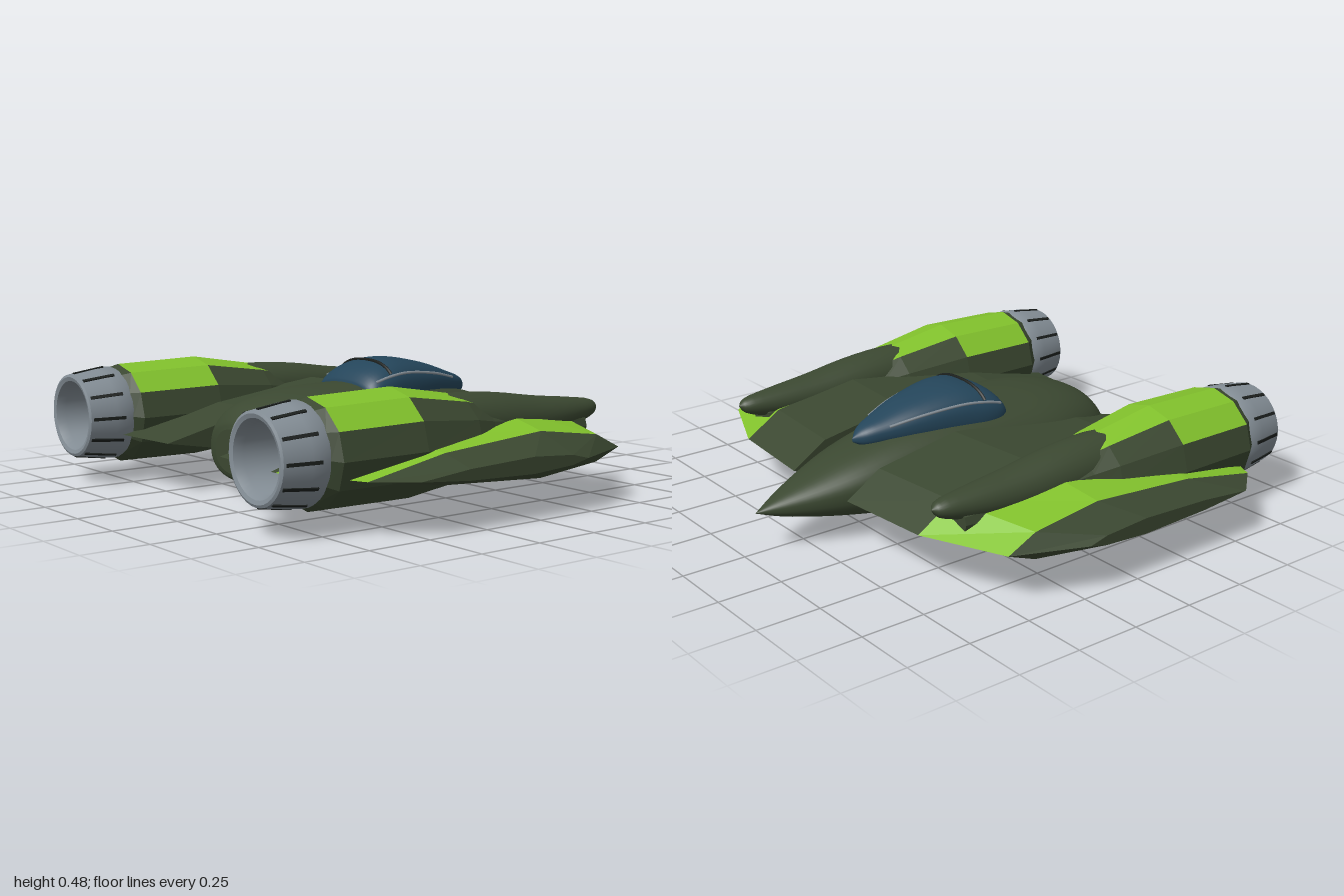
import * as THREE from 'three';
import { toCreasedNormals } from 'three/addons/utils/BufferGeometryUtils.js';

const mat = (name, color) => {
  const m = new THREE.MeshStandardMaterial({ color });
  m.name = name;
  return m;
};

// Skin a row of rings; paint(segment, side) picks the material group of each quad.
function skin(rings, { paint = () => 0, capStart = true, capEnd = true, flat = false } = {}) {
  const n = rings[0].length, pos = [], faces = [[], []];
  rings.forEach(r => r.forEach(p => pos.push(...p)));
  for (let i = 0; i < rings.length - 1; i++) {
    for (let j = 0; j < n; j++) {
      const k = (j + 1) % n, a = i * n + j, b = i * n + k, c = b + n, d = a + n;
      faces[paint(i, j)].push(a, b, d, b, c, d);
    }
  }
  const cap = (ring, flip) => {
    const base = pos.length / 3;
    ring.forEach(p => pos.push(...p));
    for (let j = 1; j < n - 1; j++) {
      faces[0].push(base, base + (flip ? j + 1 : j), base + (flip ? j : j + 1));
    }
  };
  if (capStart) cap(rings[0], true);
  if (capEnd) cap(rings[rings.length - 1], false);
  let g = new THREE.BufferGeometry();
  g.setAttribute('position', new THREE.Float32BufferAttribute(pos, 3));
  g.setIndex([...faces[0], ...faces[1]]);
  g.addGroup(0, faces[0].length, 0);
  if (faces[1].length) g.addGroup(faces[0].length, faces[1].length, 1);
  if (flat) g = g.toNonIndexed();
  g.computeVertexNormals();
  return g;
}

// Superellipse point at angle a on a station [z, halfWidth, bottom, top].
function around([z, w, bottom, top], a, e) {
  const c = Math.cos(a), s = Math.sin(a);
  return [
    w * Math.sign(c) * Math.abs(c) ** (2 / e),
    (bottom + top) / 2 + (top - bottom) / 2 * Math.sign(s) * Math.abs(s) ** (2 / e), z];
}
const ringOf = (station, n, e = 2) =>
  Array.from({ length: n }, (_, j) => around(station, j / n * Math.PI * 2, e));

// Subdivide stations smoothly along their length.
function refine(stations, steps) {
  const part = k => new THREE.CatmullRomCurve3(stations.map(s => new THREE.Vector3(s[0], s[k], s[k + 1])), false, 'centripetal');
  const a = part(1), b = part(2), out = [];
  const count = (stations.length - 1) * steps;
  for (let i = 0; i <= count; i++) {
    const p = a.getPoint(i / count), q = b.getPoint(i / count);
    out.push([p.x, Math.max(p.y, 0.0005), p.z, q.z]);
  }
  return out;
}

export function createModel() {
  const model = new THREE.Group();
  const green = mat('dark green', 0x3b4831), lime = mat('lime', 0x82c22c);
  const steel = mat('steel', 0x838d95), glass = mat('blue glass', 0x24455a);
  const black = mat('black', 0x1b1f1d);
  const add = (name, geometry, material, parent = model) => {
    const m = new THREE.Mesh(geometry, material);
    m.name = name;
    parent.add(m);
    return m;
  };

  // Central hull, pointed nose to blunt tail
  const hull = [
    [-0.945, 0.001, 0.156, 0.158], [-0.85, 0.055, 0.125, 0.2], [-0.7, 0.125, 0.093, 0.255],
    [-0.55, 0.175, 0.067, 0.305], [-0.35, 0.21, 0.035, 0.355], [-0.1, 0.24, 0.01, 0.39],
    [0.1, 0.27, 0, 0.393], [0.3, 0.282, 0.005, 0.385], [0.45, 0.252, 0.022, 0.362],
    [0.55, 0.212, 0.042, 0.325], [0.59, 0.182, 0.058, 0.28], [0.602, 0.13, 0.08, 0.25]];
  add('hull', skin(refine(hull, 4).map(s => ringOf(s, 40, 2.35))), green);

  // Canopy
  const canopy = [
    [-0.52, 0.001, 0.33, 0.345], [-0.48, 0.042, 0.31, 0.378], [-0.4, 0.08, 0.3, 0.408],
    [-0.27, 0.125, 0.28, 0.45], [-0.1, 0.165, 0.25, 0.48], [0, 0.182, 0.25, 0.468],
    [0.06, 0.178, 0.27, 0.44], [0.09, 0.16, 0.29, 0.41], [0.1, 0.11, 0.31, 0.39]];
  add('canopy', skin(refine(canopy, 4).map(s => ringOf(s, 36, 2.4))), glass);

  // Canopy side rails and cross arch
  const tube = (points, r) => new THREE.TubeGeometry(
    new THREE.CatmullRomCurve3(points.map(p => new THREE.Vector3(...p))), 40, r, 6);
  for (const s of [1, -1]) {
    const a = 0.5, path = canopy.slice(2, 7).map(st => around(st, s > 0 ? a : Math.PI - a, 2.4));
    add(s > 0 ? 'leftCanopyRail' : 'rightCanopyRail', tube(path, 0.006), steel);
  }
  const arch = Array.from({ length: 13 }, (_, i) =>
    around([-0.015, 0.18, 0.25, 0.473], 0.55 + i / 12 * (Math.PI - 1.1), 2.4));
  add('canopyArch', tube(arch, 0.007), black);

  // Wings: stations [x, front, rear, bottom, top], faceted section
  const wing = [
    [0.18, -0.67, 0.78, 0.085, 0.345], [0.57, -0.638, 0.81, 0.085, 0.345],
    [0.89, -0.5, 0.67, 0.12, 0.288], [1, -0.23, 0.54, 0.165, 0.225]];
  const section = [[0.1, 0.6], [0.34, 1], [0.72, 0.65]];
  const edgeY = 0.193;
  for (const s of [1, -1]) {
    const rings = wing.map(([x, front, rear, bottom, top]) => {
      const at = (t, f, y) => [s * x, edgeY + f * (y - edgeY), front + t * (rear - front)];
      return [
        at(0, 0, top), ...section.map(([t, f]) => at(t, f, top)),
        at(1, 0, top), ...[...section].reverse().map(([t, f]) => at(t, f, bottom))];
    });
    if (s < 0) rings.reverse();
    add(s > 0 ? 'leftWing' : 'rightWing',
      skin(rings, { flat: true, paint: i => (i === 1 ? 1 : 0) }), [green, lime]);
  }

  // Engines
  const pod = [
    [-0.53, 0.06, 0.19, 0.3], [-0.2, 0.1, 0.13, 0.345], [0.0, 0.14, 0.11, 0.385],
    [0.1, 0.172, 0.095, 0.412], [0.38, 0.213, 0.058, 0.458], [0.73, 0.205, 0.062, 0.45],
    [0.765, 0.179, 0.084, 0.44]];
  // Lime on the two top facets, widening to four further back
  const podPaint = (i, j) => {
    if (i === 4) return j >= 1 && j <= 4 ? 1 : 0;
    return (i === 2 || i === 3) && (j === 2 || j === 3) ? 1 : 0;
  };
  const podGeometry = skin(pod.map(s => ringOf(s, 12)), { flat: true, paint: podPaint, capEnd: false });

  const spike = [
    [-0.633, 0.001, 0.309, 0.311], [-0.605, 0.034, 0.277, 0.335], [-0.5, 0.06, 0.245, 0.352],
    [-0.3, 0.088, 0.21, 0.374], [-0.1, 0.108, 0.2, 0.402], [0.1, 0.112, 0.2, 0.415],
    [0.4, 0.1, 0.22, 0.4], [0.72, 0.08, 0.245, 0.35]];
  const spikeGeometry = skin(refine(spike, 3).map(s => ringOf(s, 24)));

  const nozzleProfile = [
    [0.165, 0.735], [0.181, 0.77], [0.176, 0.83], [0.16, 0.935], [0.15, 0.94],
    [0.135, 0.935], [0.122, 0.9], [0.122, 0.66], [0.0005, 0.66]];
  const nozzleGeometry = toCreasedNormals(new THREE.LatheGeometry(
    nozzleProfile.map(p => new THREE.Vector2(...p)), 36).rotateX(Math.PI / 2), 0.6);
  const slotGeometry = new THREE.BoxGeometry(0.012, 0.009, 0.13)
    .rotateX(0.14).translate(0, 0.17, 0.862);

  for (const s of [1, -1]) {
    const engine = new THREE.Group();
    engine.name = s > 0 ? 'leftEngine' : 'rightEngine';
    engine.position.x = s * 0.64;
    model.add(engine);
    add('enginePod', podGeometry, [green, lime], engine);
    add('engineSpike', spikeGeometry, green, engine);
    const nozzle = new THREE.Group();
    nozzle.name = 'nozzleAssembly';
    nozzle.position.y = 0.262;
    engine.add(nozzle);
    add('nozzle', nozzleGeometry, steel, nozzle);
    for (let i = 0; i < 12; i++) {
      add('nozzleSlot', slotGeometry, black, nozzle).rotation.z = i / 12 * Math.PI * 2;
    }
  }
  return model;
}
